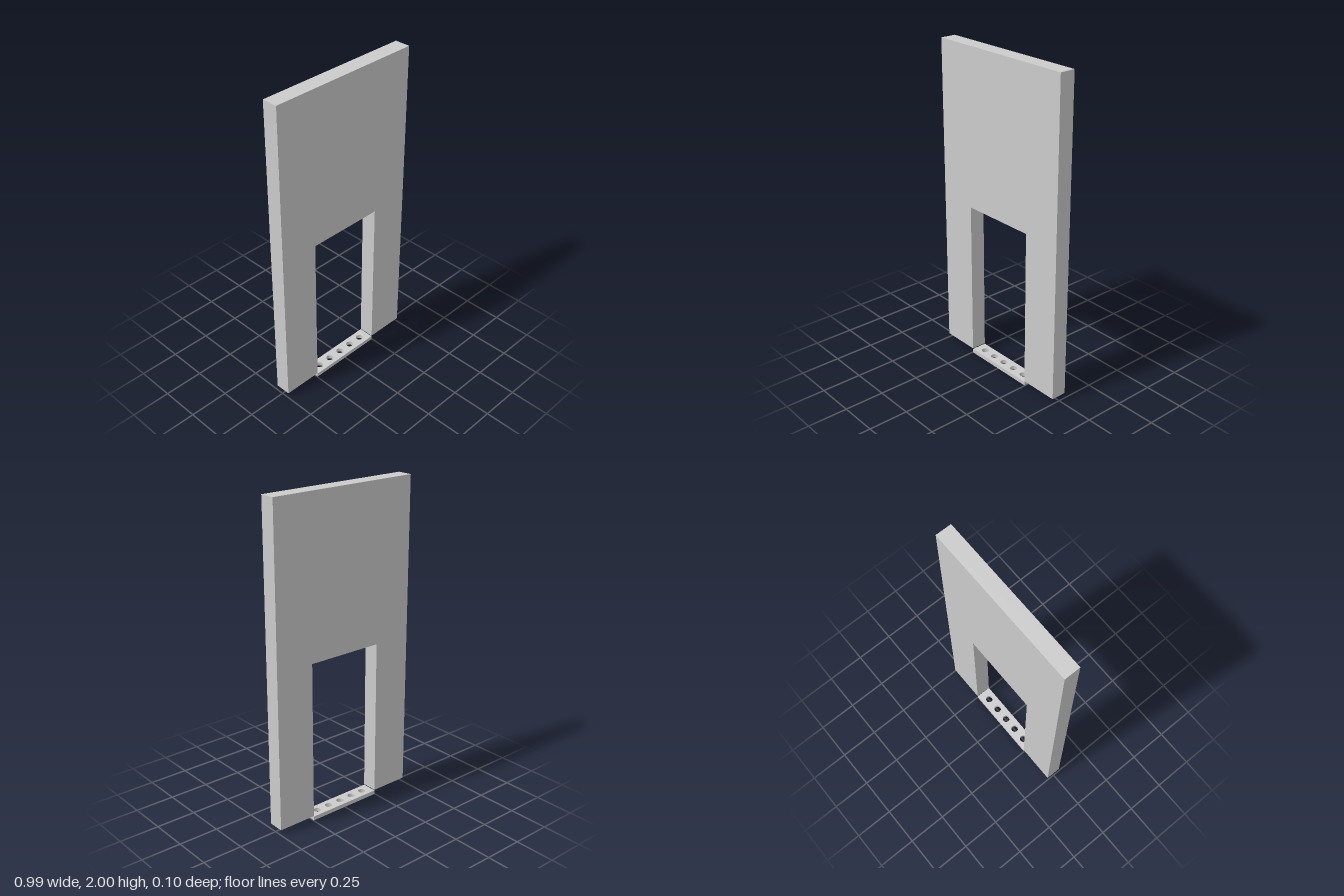
import * as THREE from 'three';

const W = 0.495, D = 0.049;            // wall half width and half depth
const BOTTOM = 0.03, TOP = 2;          // wall height range
const OPEN_W = 0.247, OPEN_TOP = 1.015; // doorway half width and head height
const SILL = 0.026;                    // threshold height

const material = new THREE.MeshStandardMaterial({ color: 0xcccccc, side: THREE.DoubleSide });

function add(parent, name, geometry) {
  const mesh = new THREE.Mesh(geometry, material);
  mesh.name = name;
  parent.add(mesh);
  return mesh;
}

// upright sheet facing +x (sign 1) or -x (sign -1)
function sideSheet(parent, name, x, y0, y1, sign) {
  const m = add(parent, name, new THREE.PlaneGeometry(2 * D, y1 - y0));
  m.rotation.y = sign * Math.PI / 2;
  m.position.set(x, (y0 + y1) / 2, 0);
}

// level sheet facing up (sign 1) or down (sign -1)
function levelSheet(parent, name, y, halfWidth, sign) {
  const m = add(parent, name, new THREE.PlaneGeometry(2 * halfWidth, 2 * D));
  m.rotation.x = -sign * Math.PI / 2;
  m.position.y = y;
}

// matching front and back faces
function facePair(parent, name, geometry) {
  add(parent, name + 'Front', geometry).position.z = D;
  const back = add(parent, name + 'Back', geometry);
  back.position.z = -D;
  back.rotation.y = Math.PI;
}

export function createModel() {
  const model = new THREE.Group();
  model.name = 'doorwayWall';

  // hollow wall, open underneath, with a doorway cut into it
  const wall = new THREE.Group();
  wall.name = 'wall';
  model.add(wall);
  const outline = new THREE.Shape([
    [-W, BOTTOM], [-OPEN_W, BOTTOM], [-OPEN_W, OPEN_TOP], [OPEN_W, OPEN_TOP],
    [OPEN_W, BOTTOM], [W, BOTTOM], [W, TOP], [-W, TOP],
  ].map(([x, y]) => new THREE.Vector2(x, y)));
  facePair(wall, 'wall', new THREE.ShapeGeometry(outline));
  levelSheet(wall, 'wallTop', TOP, W, 1);
  levelSheet(wall, 'doorwayHead', OPEN_TOP, OPEN_W, -1);
  for (const s of [-1, 1]) {
    sideSheet(wall, 'wallEnd', s * W, BOTTOM, TOP, s);
    sideSheet(wall, 'doorwayJamb', s * OPEN_W, BOTTOM, OPEN_TOP, -s);
  }

  // shallow threshold tray, open underneath
  const threshold = new THREE.Group();
  threshold.name = 'threshold';
  model.add(threshold);
  const skirt = new THREE.PlaneGeometry(2 * OPEN_W, SILL);
  skirt.translate(0, SILL / 2, 0);
  facePair(threshold, 'thresholdSkirt', skirt);
  for (const s of [-1, 1]) sideSheet(threshold, 'thresholdEnd', s * OPEN_W, 0, SILL, s);

  // top plate with a row of five round holes, each lined by a short tube
  const plate = new THREE.Shape([
    [-OPEN_W, -D], [OPEN_W, -D], [OPEN_W, D], [-OPEN_W, D],
  ].map(([x, y]) => new THREE.Vector2(x, y)));
  const radius = 0.023, pitch = 0.091, sides = 12;
  for (let i = -2; i <= 2; i++) {
    const hole = [];
    for (let k = 0; k < sides; k++) {
      const a = -k / sides * 2 * Math.PI;
      hole.push(new THREE.Vector2(i * pitch + radius * Math.sin(a), radius * Math.cos(a)));
    }
    plate.holes.push(new THREE.Path(hole));
    const tube = add(threshold, 'holeLining',
      new THREE.CylinderGeometry(radius, radius, SILL, sides, 1, true));
    tube.position.set(i * pitch, SILL / 2, 0);
  }
  const top = add(threshold, 'thresholdTop', new THREE.ShapeGeometry(plate));
  top.rotation.x = -Math.PI / 2;
  top.position.y = SILL;

  return model;
}
